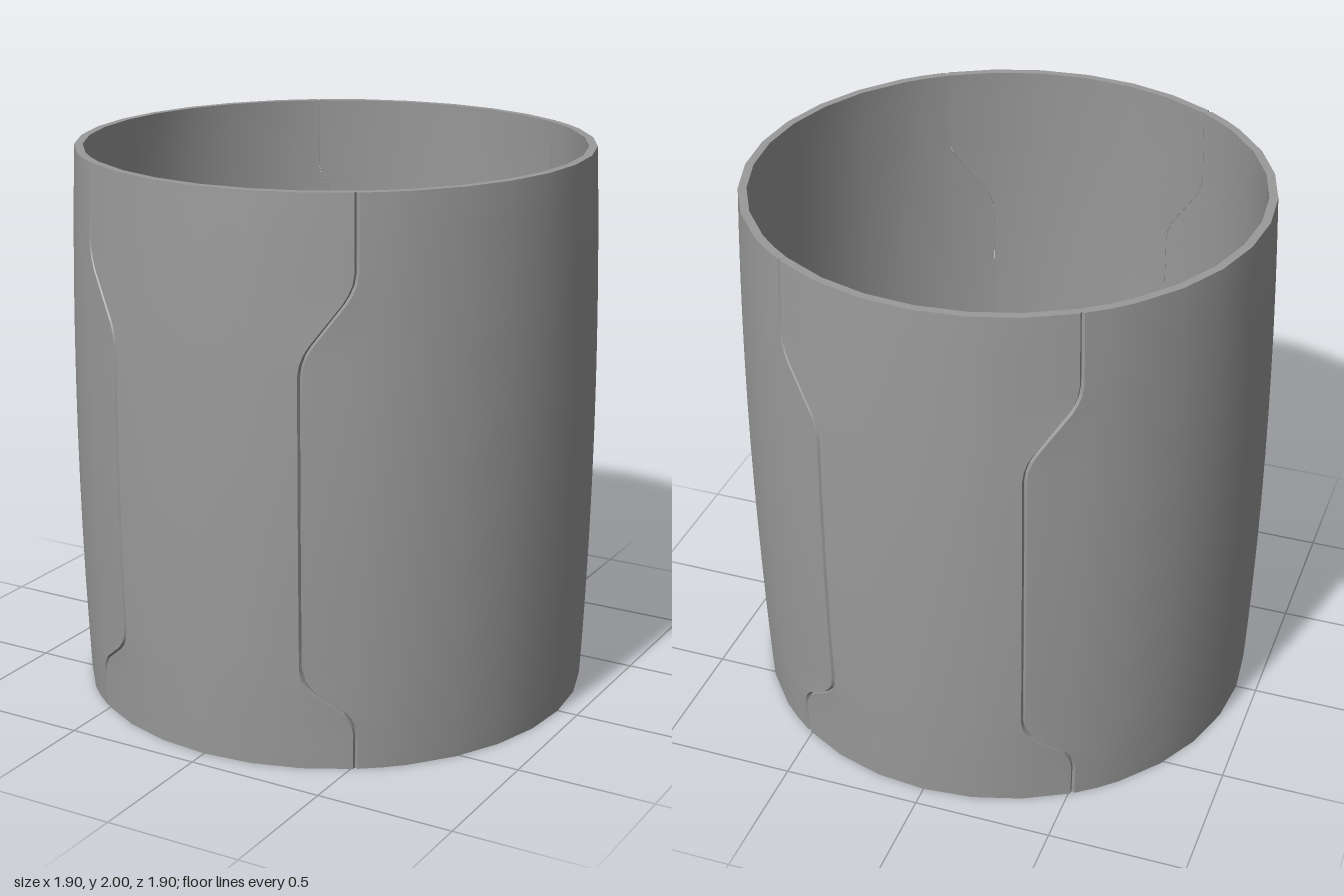
import * as THREE from 'three';
import { toCreasedNormals } from 'three/addons/utils/BufferGeometryUtils.js';

const WALL = 0.03, BEVEL = 0.01, GAP = 0.0075, JOINT = 0.0006;
const STEP = Math.PI / 16; // the sleeve has 32 sides

// rows from the bottom up: [height, seam offset], 1 = wide end, 0 = narrow waist
const ROWS = [
  [0, 1], [0.07, 1], [0.13, 1], [0.165, 0.96], [0.19, 0.88], [0.21, 0.79], [0.28, 0.25],
  [0.305, 0.12], [0.33, 0.04], [0.37, 0], [0.55, 0], [0.75, 0], [0.95, 0], [1.15, 0],
  [1.3, 0], [1.4, 0], [1.435, 0.03], [1.47, 0.1], [1.5, 0.2], [1.64, 0.79], [1.67, 0.89],
  [1.7, 0.96], [1.74, 1], [1.87, 1], [2, 1],
];

const barrelRadius = (y) => 0.948 - 0.024 * (y - 1) ** 2;

// curved shell panel facing +z, with bevelled outer edges along its seams;
// fixedSteps straight columns lie either side of the middle, the rest follow the seam
function panelGeometry(halfAngle, fixedSteps) {
  const pos = [], index = [];
  const n = 2 * (fixedSteps + 3) + 1, loop = 2 * n;
  for (const [y, t] of ROWS) {
    const r = barrelRadius(y), half = halfAngle(t) - JOINT, edge = half - GAP;
    const side = [];
    for (let i = 1; i <= fixedSteps; i++) side.push(i * STEP);
    side.push((fixedSteps * STEP + edge) / 2, edge, half);
    const angles = [...side.map((a) => -a).reverse(), 0, ...side];
    const add = (angle, rad) => pos.push(rad * Math.sin(angle), y, rad * Math.cos(angle));
    angles.forEach((angle, i) => add(angle, i === 0 || i === n - 1 ? r - BEVEL : r));
    angles.reverse().forEach((angle) => add(angle, r - WALL));
  }
  // walls
  for (let j = 0; j < ROWS.length - 1; j++) {
    for (let k = 0; k < loop; k++) {
      const p = j * loop + k, q = j * loop + (k + 1) % loop;
      index.push(p, q, q + loop, p, q + loop, p + loop);
    }
  }
  // bottom and top rims
  const top = (ROWS.length - 1) * loop;
  for (let k = 0; k < n - 1; k++) {
    const o0 = k, o1 = k + 1, i0 = loop - 1 - k, i1 = loop - 2 - k;
    index.push(o0, i1, o1, o0, i0, i1);
    index.push(top + o0, top + o1, top + i1, top + o0, top + i1, top + i0);
  }
  const geometry = new THREE.BufferGeometry();
  geometry.setAttribute('position', new THREE.Float32BufferAttribute(pos, 3));
  geometry.setIndex(index);
  return toCreasedNormals(geometry, 0.45);
}

export function createModel() {
  const group = new THREE.Group();
  group.name = 'barrelSleeve';
  const material = new THREE.MeshStandardMaterial({ color: 0x9a9a9a });
  const narrow = panelGeometry((t) => (2 + t) * STEP, 1);
  const wide = panelGeometry((t) => (6 - t) * STEP, 4);
  const addPanel = (name, geometry, turn) => {
    const mesh = new THREE.Mesh(geometry, material);
    mesh.name = name;
    mesh.rotation.y = turn;
    group.add(mesh);
  };
  addPanel('frontPanel', narrow, 0);
  addPanel('backPanel', narrow, Math.PI);
  addPanel('leftPanel', wide, Math.PI / 2);
  addPanel('rightPanel', wide, -Math.PI / 2);
  return group;
}
